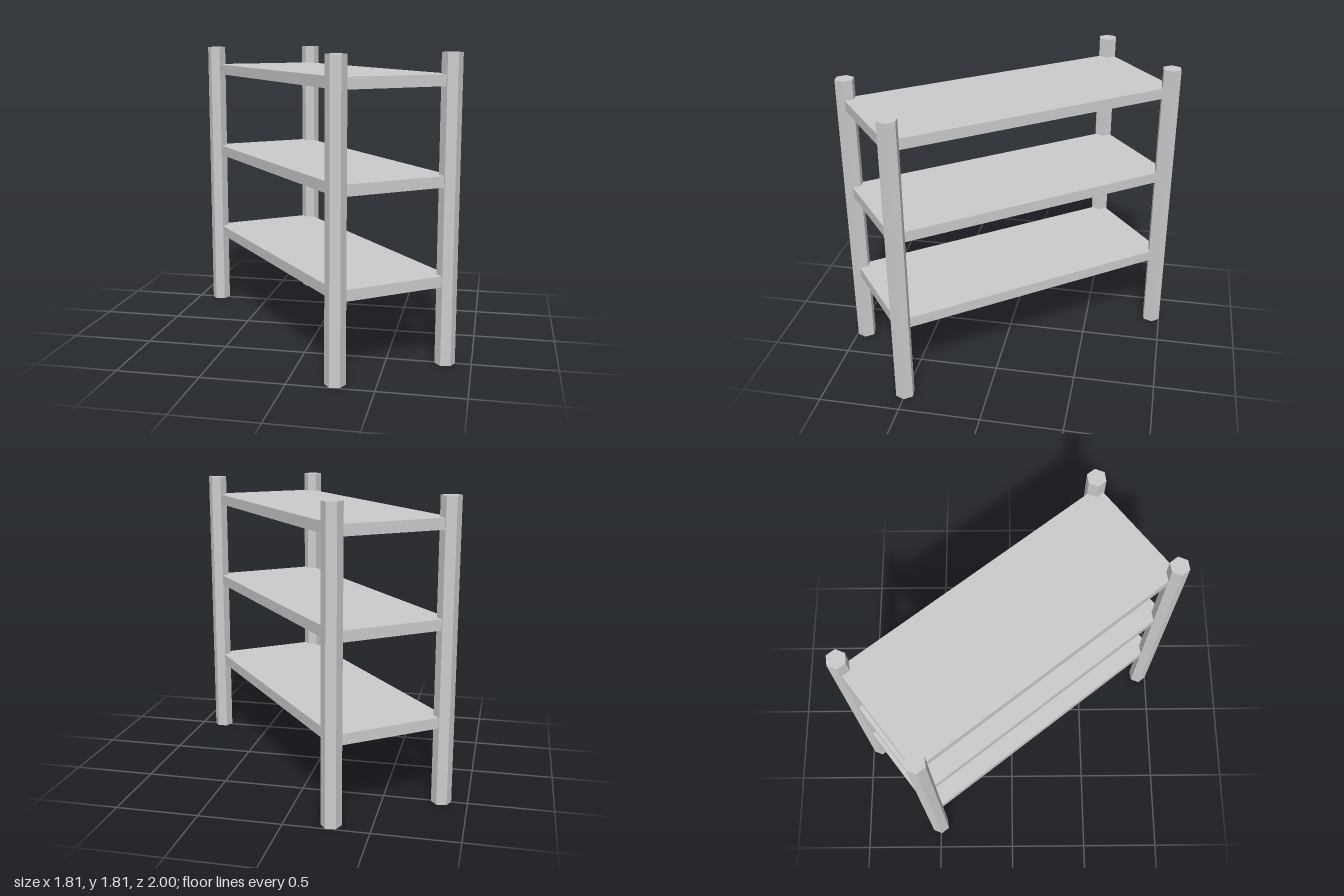
import * as THREE from 'three';

const POST = { x: 0.914, z: 0.3625, radius: 0.06, height: 1.81 };
const SHELF = { length: 1.874, depth: 0.725, thickness: 0.066 };
const SHELF_HEIGHTS = [0.507, 1.089, 1.657];

export function createModel() {
  const model = new THREE.Group();
  model.name = 'shelfRack';
  const material = new THREE.MeshStandardMaterial({ color: 0xcccccc, flatShading: true });

  // The whole rack is turned diagonally about the vertical axis
  const rack = new THREE.Group();
  rack.name = 'rack';
  rack.rotation.y = -0.9145;
  model.add(rack);

  // Hexagonal corner posts, one corner pointing along the rack's length
  const postGeometry = new THREE.CylinderGeometry(POST.radius, POST.radius, POST.height, 6);
  postGeometry.rotateY(Math.PI / 6);
  for (const sx of [-1, 1]) {
    for (const sz of [-1, 1]) {
      const post = new THREE.Mesh(postGeometry, material);
      post.name = 'cornerPost';
      post.position.set(sx * POST.x, POST.height / 2, sz * POST.z);
      rack.add(post);
    }
  }

  // Three flat shelves
  const shelfGeometry = new THREE.BoxGeometry(SHELF.length, SHELF.thickness, SHELF.depth);
  for (const y of SHELF_HEIGHTS) {
    const shelf = new THREE.Mesh(shelfGeometry, material);
    shelf.name = 'shelf';
    shelf.position.y = y;
    rack.add(shelf);
  }
  return model;
}
